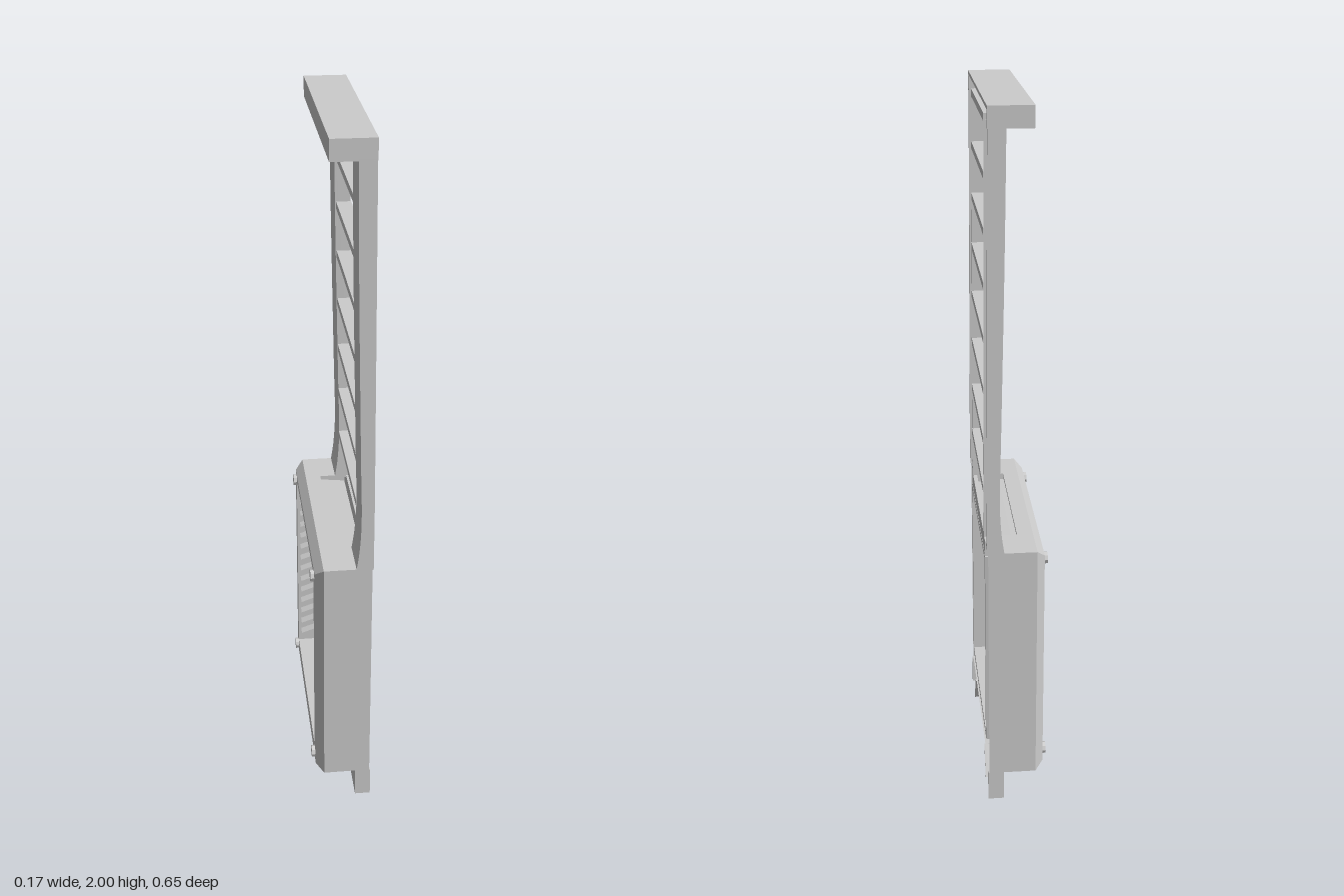
import * as THREE from 'three';

const mat = new THREE.MeshStandardMaterial({ color: 0xcccccc, flatShading: true, side: THREE.DoubleSide });

export function createModel() {
  const root = new THREE.Group();
  const add = (name, geo) => {
    const m = new THREE.Mesh(geo, mat);
    m.name = name;
    root.add(m);
    return m;
  };
  // box from min and max corners
  const box = (name, x0, x1, y0, y1, z0, z1) => {
    const m = add(name, new THREE.BoxGeometry(x1 - x0, y1 - y0, Math.abs(z1 - z0)));
    m.position.set((x0 + x1) / 2, (y0 + y1) / 2, (z0 + z1) / 2);
    return m;
  };
  // xy outline extruded from z0 to z1
  const slab = (name, pts, z0, z1) => {
    const shape = new THREE.Shape(pts.map(p => new THREE.Vector2(p[0], p[1])));
    const g = new THREE.ExtrudeGeometry(shape, { depth: Math.abs(z1 - z0), bevelEnabled: false });
    g.translate(0, 0, Math.min(z0, z1));
    return add(name, g);
  };
  // shell through rectangles [x, halfWidth, bottom, top]; skipTop leaves the top of that step open
  const rectShell = (name, sections, skipTop = -1) => {
    const pos = [];
    const ring = ([x, h, b, t]) => [[x, b, h], [x, b, -h], [x, t, -h], [x, t, h]];
    for (let i = 0; i + 1 < sections.length; i++) {
      const a = ring(sections[i]), c = ring(sections[i + 1]);
      for (let k = 0; k < 4; k++) {
        if (i === skipTop && k === 2) continue;
        const n = (k + 1) % 4;
        pos.push(...a[k], ...c[k], ...c[n], ...a[k], ...c[n], ...a[n]);
      }
    }
    const g = new THREE.BufferGeometry();
    g.setAttribute('position', new THREE.Float32BufferAttribute(pos, 3));
    g.computeVertexNormals();
    return add(name, g);
  };

  // lower housing: outer wall, chamfer, face, stepped window and inner tube
  rectShell('housing', [
    [0.08, 0.323, 0.09, 0.805],
    [-0.055, 0.323, 0.09, 0.805],
    [-0.078, 0.30, 0.11, 0.782],
    [-0.078, 0.265, 0.155, 0.762],
    [0, 0.265, 0.155, 0.762],
    [0, 0.235, 0.178, 0.745],
    [0.083, 0.235, 0.178, 0.745],
    [0.083, 0.252, 0.16, 0.76],
    [0, 0.265, 0.155, 0.762],
  ], 0);

  // housing top with a long slot
  box('housingTop', -0.055, -0.01, 0.797, 0.805, -0.323, 0.323);
  box('windowHeader', 0.07, 0.082, 0.745, 0.805, -0.245, 0.245);

  // post profile, top to bottom
  const curve = new THREE.SplineCurve([
    [0.03, 1.95], [0.035, 1.6], [0.044, 1.15], [0.048, 0.97], [0.044, 0.87], [0.035, 0.8],
  ].map(p => new THREE.Vector2(...p))).getPoints(24).map(p => [p.x, p.y]);
  const frontEdge = [[0.083, 0.8], [0.083, 1.0], [0.076, 1.95]];
  const wall = [...curve, ...frontEdge];
  const skin = [...curve, ...curve.map(([x, y]) => [x + 0.006, y]).reverse()];

  for (const s of [1, -1]) {
    box('slotEnd', -0.01, 0.08, 0.797, 0.805, s * 0.21, s * 0.323);

    // channel-shaped post
    slab('postOuterWall', wall, s * 0.313, s * 0.323);
    slab('postInnerWall', wall, s * 0.208, s * 0.216);
    slab('postSkin', skin, s * 0.208, s * 0.323);

    // foot: outer wall, slanted flap and web
    box('footWall', 0.038, 0.083, 0, 0.09, s * 0.313, s * 0.323);
    const web = new THREE.Shape([[0.323, 0], [0.22, 0], [0.175, 0.09], [0.323, 0.09]]
      .map(([z, y]) => new THREE.Vector2(-s * z, y)));
    const webGeo = new THREE.ExtrudeGeometry(web, { depth: 0.005, bevelEnabled: false });
    webGeo.rotateY(Math.PI / 2).translate(0.038, 0, 0);
    add('footWeb', webGeo);
    const flap = box('footFlap', 0.038, 0.083, -0.005, 0.095, -0.003, 0.003);
    flap.position.set(0.0605, 0.045, s * 0.1975);
    flap.rotation.x = -s * Math.atan2(0.045, 0.09);

    // row of wedge teeth along the window side
    for (let i = 0; i < 13; i++) {
      const y = 0.2 + i * 0.041;
      slab('tooth', [[-0.07, y], [0, y], [0, y + 0.025]], s * 0.237, s * 0.265);
    }

    // corner screws
    for (const y of [0.135, 0.762]) {
      const screw = add('screw', new THREE.CylinderGeometry(0.017, 0.017, 0.014, 8));
      screw.rotation.z = Math.PI / 2;
      screw.position.set(-0.081, y, s * 0.273);
    }
    box('headerEnd', -0.04, 0.077, 1.945, 2, s * 0.315, s * 0.323);
  }

  // hollow header, open to one side
  box('headerTop', -0.04, 0.077, 1.99, 2, -0.323, 0.323);
  box('headerFace', -0.04, -0.032, 1.945, 2, -0.323, 0.323);
  box('headerUnderside', -0.04, 0.036, 1.945, 1.953, -0.323, 0.323);

  // rungs
  for (let i = 0; i < 8; i++) {
    const y = 0.95 + i * 0.1436;
    box('rung', 0.047 - i * 0.002, 0.084 - i * 0.001, y - 0.01, y + 0.01, -0.212, 0.212);
  }
  return root;
}
